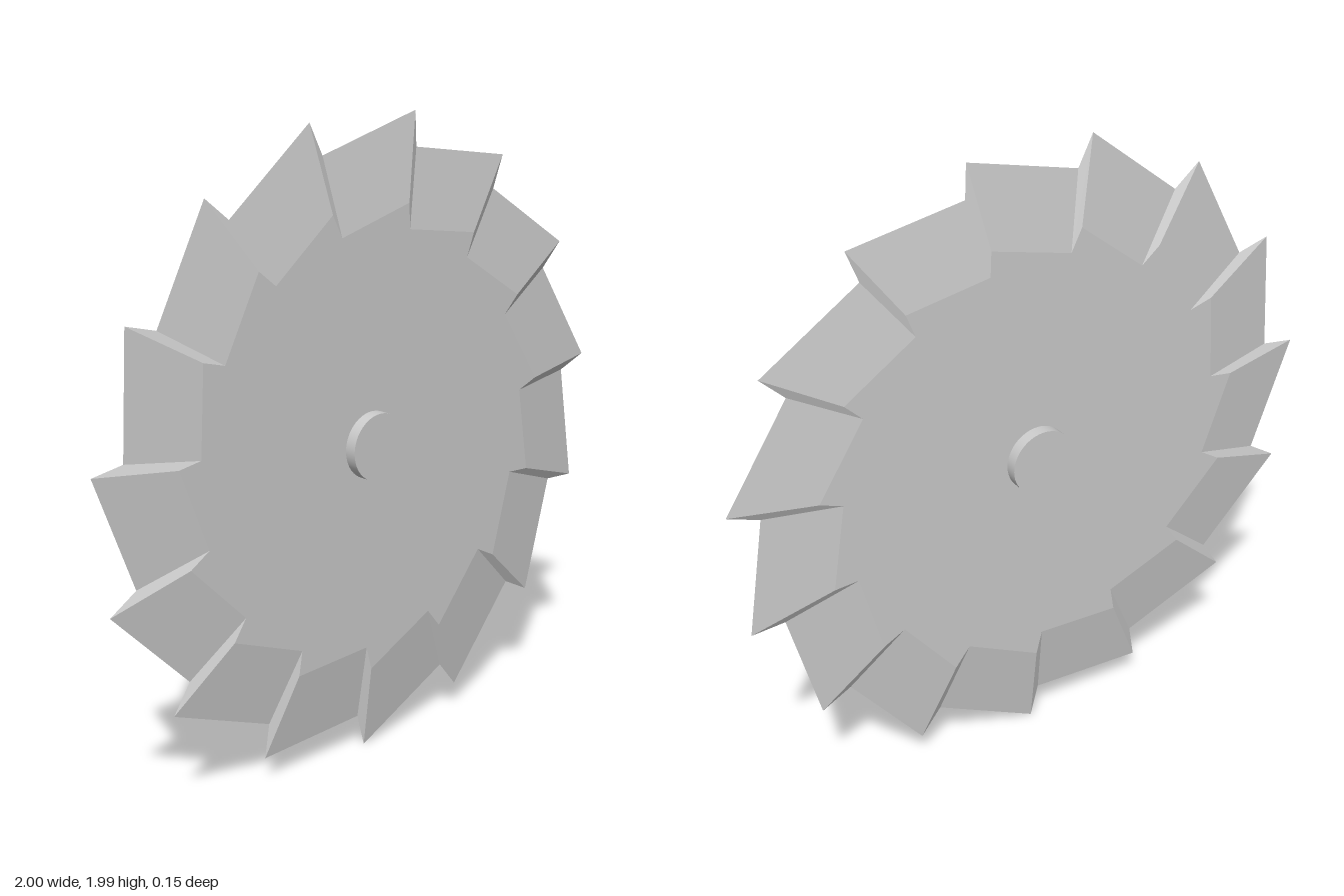
import * as THREE from 'three';

const TEETH = 15;
const TIP_R = 1.0055;      // radius of tooth tips
const VALLEY_R = 0.9;      // radius of the notch behind each tip
const VALLEY_LAG = THREE.MathUtils.degToRad(1.75);
const INNER = 0.73;        // flat plate outline relative to the cutting edge
const HALF = 0.035;        // half thickness of the plate

// Ratchet outline, counter-clockwise: notch, tip, notch, tip ...
function outline() {
  const pts = [];
  for (let i = 0; i < TEETH; i++) {
    const a = -Math.PI / 2 + (i * 2 * Math.PI) / TEETH;
    pts.push(new THREE.Vector2(Math.cos(a - VALLEY_LAG), Math.sin(a - VALLEY_LAG)).multiplyScalar(VALLEY_R));
    pts.push(new THREE.Vector2(Math.cos(a), Math.sin(a)).multiplyScalar(TIP_R));
  }
  return pts;
}

// One side of the blade is a flat plate or a ring of bevels; both sides are mirrored
function bladeGeometry(kind) {
  const pts = outline();
  const pos = [];
  for (const side of [1, -1]) {
    const tri = (a, b, c) => pos.push(...a, ...(side > 0 ? b : c), ...(side > 0 ? c : b));
    pts.forEach((p, i) => {
      const q = pts[(i + 1) % pts.length];
      const pi = [p.x * INNER, p.y * INNER, side * HALF];
      const qi = [q.x * INNER, q.y * INNER, side * HALF];
      if (kind === 'plate') {
        tri([0, 0, side * HALF], pi, qi);
      } else {
        tri(pi, [p.x, p.y, 0], [q.x, q.y, 0]);
        tri(pi, [q.x, q.y, 0], qi);
      }
    });
  }
  const g = new THREE.BufferGeometry();
  g.setAttribute('position', new THREE.Float32BufferAttribute(pos, 3));
  g.computeVertexNormals();
  return g;
}

export function createModel() {
  const model = new THREE.Group();
  model.name = 'sawBlade';
  const flat = new THREE.MeshStandardMaterial({ color: 0xcccccc, flatShading: true });
  const smooth = new THREE.MeshStandardMaterial({ color: 0xcccccc });

  const add = (name, geometry, material) => {
    const mesh = new THREE.Mesh(geometry, material);
    mesh.name = name;
    mesh.position.y = TIP_R;
    model.add(mesh);
  };

  // Flat disc faces and the sharpened teeth around them
  add('discFaces', bladeGeometry('plate'), flat);
  add('bevelledTeeth', bladeGeometry('teeth'), flat);

  // Axle stub through the middle
  add('hub', new THREE.CylinderGeometry(0.105, 0.105, 0.146, 48).rotateX(Math.PI / 2), smooth);

  return model;
}
